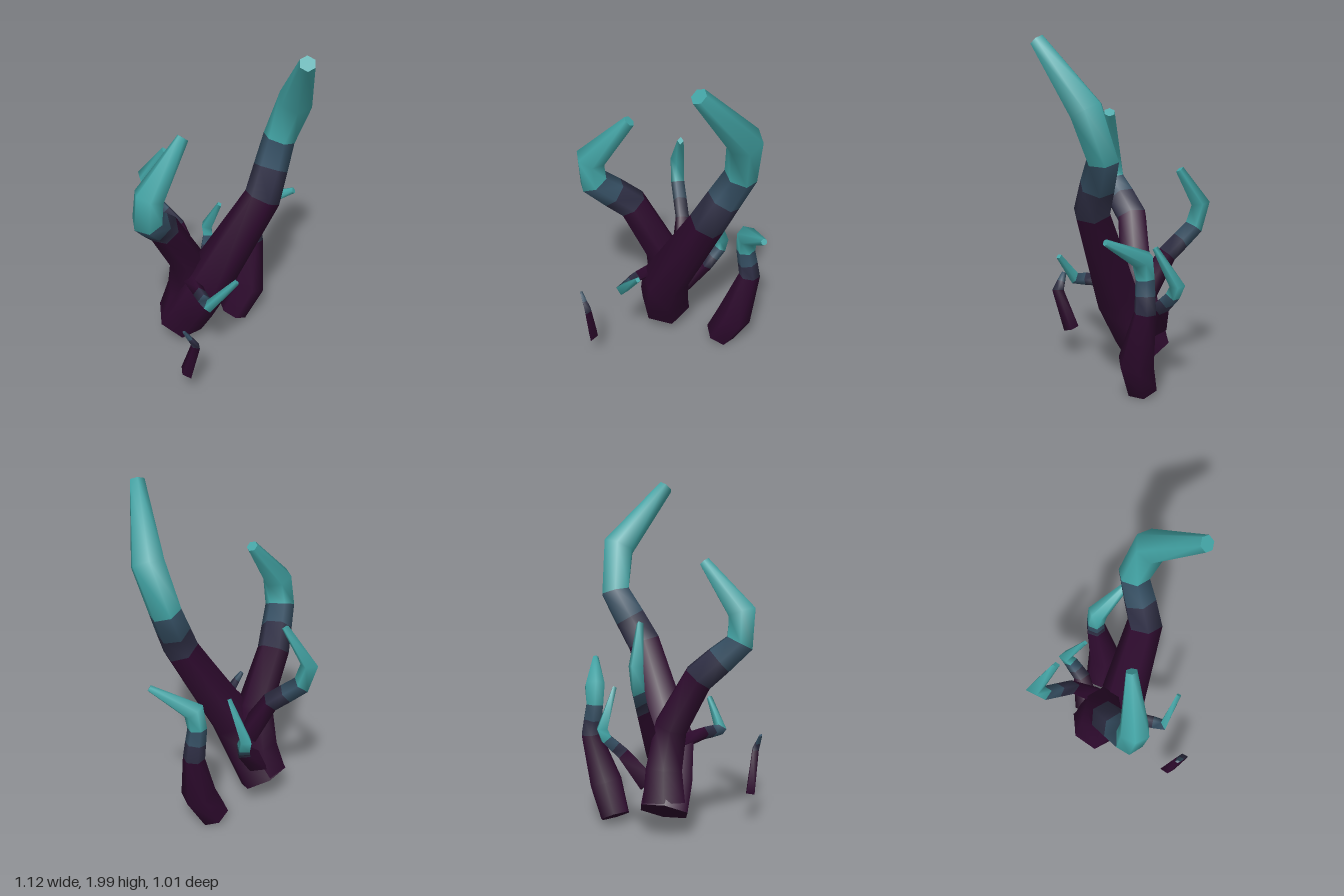
import * as THREE from 'three';

const mat = (name, color) => new THREE.MeshStandardMaterial({ name, color });

// Halve every slate band so that it can change colour midway
function expand(points) {
  const out = [];
  points.forEach((p, i) => {
    const band = { p: 0, s: 1, t: 3 }[p[4]];
    out.push({ pos: new THREE.Vector3(...p.slice(0, 3)), r: p[3], band });
    if (p[4] === 's') {
      const q = points[i + 1];
      const m = [0, 1, 2, 3].map(k => (p[k] + q[k]) / 2);
      out.push({ pos: new THREE.Vector3(...m.slice(0, 3)), r: m[3], band: 2 });
    }
  });
  return out;
}

// Tapered tube through the points, with a material group per band.
// Each point: x, y, z, radius, and the band that follows it:
// 'p' purple, 's' slate fading to blue grey, 't' teal.
// flatten narrows a tentacle sideways.
function tentacle(name, materials, sides, flatten, points) {
  const pts = expand(points), n = pts.length;
  const position = [], index = [], rings = [];
  const geo = new THREE.BufferGeometry();
  const side = new THREE.Vector3(1, 0, 0);
  pts.forEach((p, i) => {
    const dir = new THREE.Vector3();
    if (i > 0) dir.add(p.pos.clone().sub(pts[i - 1].pos).normalize());
    if (i < n - 1) dir.add(pts[i + 1].pos.clone().sub(p.pos).normalize());
    dir.normalize();
    side.addScaledVector(dir, -side.dot(dir)).normalize();
    const up = dir.clone().cross(side);
    const ring = [];
    for (let k = 0; k < sides; k++) {
      const a = k / sides * Math.PI * 2;
      const v = p.pos.clone()
        .addScaledVector(side, Math.cos(a) * p.r * 1.05 * flatten)
        .addScaledVector(up, Math.sin(a) * p.r * 1.05);
      position.push(v.x, v.y, v.z);
      ring.push(v);
    }
    rings.push(ring);
  });
  for (let i = 0; i < n - 1; i++) {
    geo.addGroup(index.length, sides * 6, pts[i].band);
    for (let k = 0; k < sides; k++) {
      const a = i * sides + k, b = i * sides + (k + 1) % sides;
      index.push(a, b, a + sides, b, b + sides, a + sides);
    }
  }
  // Flat ends with their own vertices
  const cap = (ring, flip, band) => {
    const start = position.length / 3;
    ring.forEach(v => position.push(v.x, v.y, v.z));
    geo.addGroup(index.length, (sides - 2) * 3, band);
    for (let k = 1; k < sides - 1; k++) {
      index.push(start, start + (flip ? k + 1 : k), start + (flip ? k : k + 1));
    }
  };
  cap(rings[0], true, pts[0].band);
  cap(rings[n - 1], false, pts[n - 2].band);
  geo.setAttribute('position', new THREE.Float32BufferAttribute(position, 3));
  geo.setIndex(index);
  geo.computeVertexNormals();
  const mesh = new THREE.Mesh(geo, materials);
  mesh.name = name;
  return mesh;
}

export function createModel() {
  const group = new THREE.Group();
  group.name = 'tentacleCluster';
  const materials = [
    mat('darkPurple', 0x2d0a2d), mat('slate', 0x2f2f45),
    mat('blueGrey', 0x365064), mat('teal', 0x42a3a4),
  ];
  const add = (name, sides, flatten, points) =>
    group.add(tentacle(name, materials, sides, flatten, points));

  // Three large tentacles
  add('mainTentacle', 6, 1, [
    [-0.12, 0.145, -0.145, 0.145, 'p'], [-0.1, 0.29, -0.06, 0.143, 'p'],
    [-0.055, 0.5, 0.045, 0.135, 'p'], [0.23, 1.04, 0.185, 0.1, 's'],
    [0.395, 1.345, 0.125, 0.088, 't'], [0.43, 1.61, 0.21, 0.094, 't'],
    [0.255, 1.965, 0.465, 0.043],
  ]);
  add('rightTentacle', 6, 1, [
    [-0.12, 0.2, -0.14, 0.13, 'p'], [-0.1, 0.38, -0.11, 0.112, 'p'],
    [-0.12, 0.62, -0.07, 0.1, 'p'], [-0.29, 0.915, -0.055, 0.09, 's'],
    [-0.48, 1.11, 0.065, 0.083, 't'], [-0.48, 1.275, 0.09, 0.083, 't'],
    [-0.245, 1.545, 0.08, 0.032],
  ]);
  add('leftTentacle', 6, 1, [
    [0.255, 0.04, -0.09, 0.088, 'p'], [0.345, 0.225, -0.055, 0.1, 'p'],
    [0.42, 0.52, -0.1, 0.06, 's'], [0.39, 0.7, -0.1, 0.053, 't'],
    [0.4, 0.81, -0.085, 0.06, 't'], [0.54, 0.935, 0.115, 0.018],
  ]);

  // Thin side shoots
  add('backTentacle', 4, 0.75, [
    [-0.02, 0.48, -0.1, 0.07, 'p'], [-0.045, 0.74, -0.25, 0.053, 's'],
    [-0.125, 0.885, -0.41, 0.052, 't'], [-0.14, 1.02, -0.45, 0.053, 't'],
    [-0.08, 1.23, -0.32, 0.024],
  ]);
  add('backLeftTentacle', 4, 0.85, [
    [-0.03, 0.3, -0.17, 0.075, 'p'], [0.12, 0.46, -0.2, 0.05, 's'],
    [0.19, 0.55, -0.265, 0.042, 't'], [0.2, 0.61, -0.29, 0.042, 't'],
    [0.2, 0.83, -0.165, 0.016],
  ]);
  add('frontTentacle', 4, 1, [
    [-0.14, 0.52, 0, 0.045, 'p'], [-0.205, 0.55, 0.16, 0.036, 's'],
    [-0.24, 0.55, 0.29, 0.035, 't'], [-0.11, 0.715, 0.38, 0.016],
  ]);

  // Small piece standing apart
  add('looseTentacle', 4, 0.6, [
    [-0.425, 0.18, 0.32, 0.045, 'p'], [-0.415, 0.43, 0.4, 0.034, 's'],
    [-0.468, 0.53, 0.362, 0.014],
  ]);
  return group;
}
